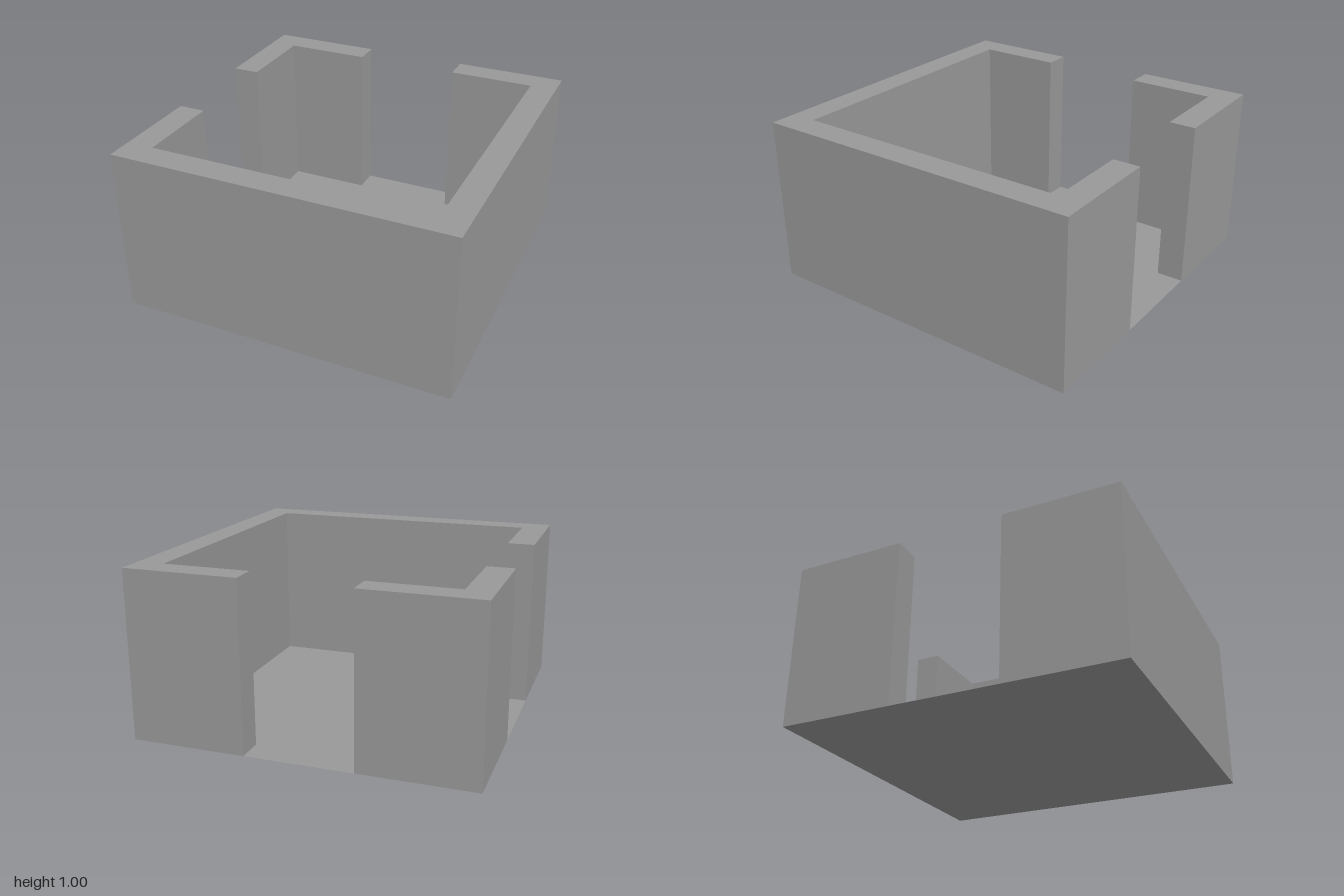
import * as THREE from 'three';

const HALF = 1, INNER = 0.84, GAP = 0.32, HEIGHT = 1;

// Slab raised from a plan outline of [x, z] points
function slab(points, height) {
  const shape = new THREE.Shape(points.map(([x, z]) => new THREE.Vector2(x, -z)));
  return new THREE.ExtrudeGeometry(shape, { depth: height, bevelEnabled: false });
}

function addFlat(group, name, geometry, material) {
  geometry.rotateX(-Math.PI / 2);
  const mesh = new THREE.Mesh(geometry, material);
  mesh.name = name;
  group.add(mesh);
}

export function createModel() {
  const group = new THREE.Group();
  group.name = 'room';
  const grey = new THREE.MeshStandardMaterial({ color: 0x999999 });
  const greyThin = new THREE.MeshStandardMaterial({ color: 0x999999, side: THREE.DoubleSide });
  const green = new THREE.MeshStandardMaterial({ color: 0x00ff00 });

  // Thin floor
  addFlat(group, 'floor', new THREE.PlaneGeometry(2 * HALF, 2 * HALF), greyThin);

  // Front and left walls, with short returns up to the two doorways
  addFlat(group, 'longWall', slab([
    [-HALF, GAP], [-HALF, HALF], [HALF, HALF], [HALF, -HALF], [GAP, -HALF],
    [GAP, -INNER], [INNER, -INNER], [INNER, INNER], [-INNER, INNER], [-INNER, GAP],
  ], HEIGHT), grey);

  // L-shaped wall between the doorways
  addFlat(group, 'cornerWall', slab([
    [-HALF, -GAP], [-HALF, -HALF], [-GAP, -HALF],
    [-GAP, -INNER], [-INNER, -INNER], [-INNER, -GAP],
  ], HEIGHT), grey);

  // Arrow on the floor pointing to the front; its underside stays above the floor
  const arrow = slab([[-0.174, 0.44], [0, 0.785], [0.174, 0.44]], 0.02);
  arrow.translate(0, 0, 0.002);
  addFlat(group, 'directionMarker', arrow, green);

  return group;
}
